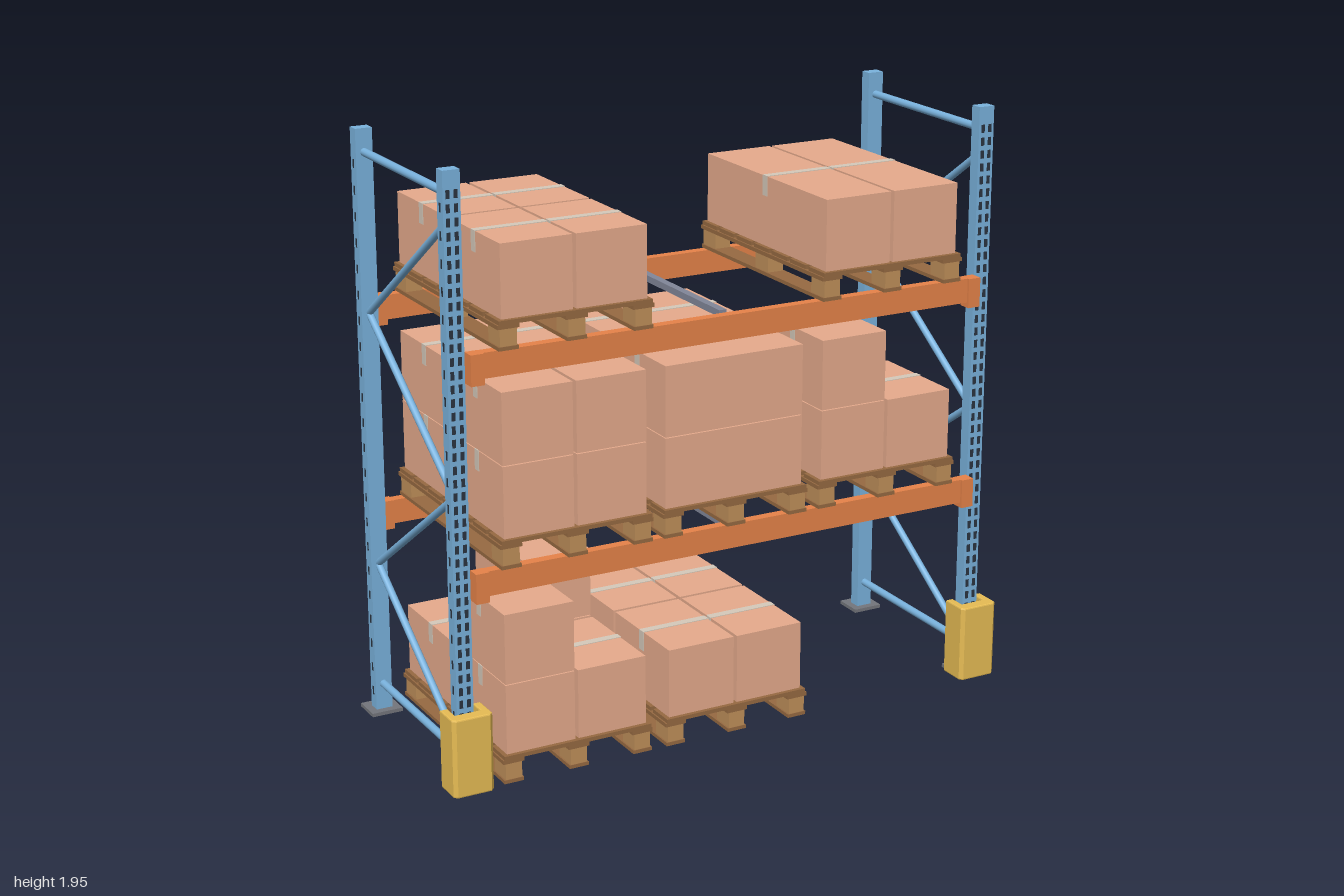
import * as THREE from 'three';
import { mergeGeometries } from 'three/addons/utils/BufferGeometryUtils.js';

const mat = (name, color) => {
  const m = new THREE.MeshStandardMaterial({ color });
  m.name = name;
  return m;
};

// Box geometry from its min and max corners
const block = (x0, x1, y0, y1, z0, z1) =>
  new THREE.BoxGeometry(x1 - x0, y1 - y0, z1 - z0)
    .translate((x0 + x1) / 2, (y0 + y1) / 2, (z0 + z1) / 2);

// Round bar between two points
function bar(a, b, r) {
  const p = new THREE.Vector3(...a), q = new THREE.Vector3(...b);
  const d = q.clone().sub(p);
  const g = new THREE.CylinderGeometry(r, r, d.length(), 12);
  g.applyQuaternion(new THREE.Quaternion().setFromUnitVectors(new THREE.Vector3(0, 1, 0), d.normalize()));
  return g.translate((a[0] + b[0]) / 2, (a[1] + b[1]) / 2, (a[2] + b[2]) / 2);
}

export function createModel() {
  const root = new THREE.Group();
  root.name = 'palletRack';
  const blue = mat('blue steel', 0x7ab3de);
  const slotDark = mat('dark slot', 0x2b3440);
  const orange = mat('orange beam', 0xea854a);
  const yellow = mat('yellow guard', 0xeec257);
  const grey = mat('grey plate', 0x74767c);
  const steel = mat('grey bar', 0x82879a);
  const deckWood = mat('deck wood', 0x976a42);
  const blockWood = mat('block wood', 0xc0905a);
  const card = mat('cardboard', 0xebae8f);
  const tapeMat = mat('packing tape', 0xd6cabb);

  const add = (name, geos, material, parent = root) => {
    const m = new THREE.Mesh(Array.isArray(geos) ? mergeGeometries(geos) : geos, material);
    m.name = name;
    parent.add(m);
    return m;
  };

  // End frames: uprights, slots, base plates, bracing and front guards
  const zFront = 0.318, zBack = -0.333, H = 1.95;
  for (const s of [-1, 1]) {
    const frame = new THREE.Group();
    frame.name = s > 0 ? 'leftFrame' : 'rightFrame';
    root.add(frame);
    const X = 0.932 * s;
    for (const z of [zFront, zBack]) {
      add('upright', block(X - 0.028, X + 0.028, 0.012, H, z - 0.021, z + 0.021), blue, frame);
      add('basePlate', block(X - 0.053, X + 0.053, 0, 0.012, z - 0.053, z + 0.047), grey, frame);
      const slots = [];
      const xo = X + 0.028 * s;
      for (let y = 0.06; y < 1.9; y += 0.084)
        slots.push(block(xo - 0.0015, xo + 0.0015, y, y + 0.028, z - 0.004, z + 0.004));
      if (z === zFront)
        for (let y = 0.06; y < 1.9; y += 0.042)
          for (const dx of [-0.013, 0.013])
            slots.push(block(X + dx - 0.006, X + dx + 0.006, y, y + 0.026, z + 0.02, z + 0.0225));
      add('uprightSlots', slots, slotDark, frame);
    }

    const zf = 0.305, zb = -0.32;
    const zig = [[1.79, zf], [1.36, zb], [0.94, zf], [0.52, zb], [0.11, zf]];
    const braces = [1.875, 0.1].map(y => bar([X, y, zf], [X, y, zb], 0.013));
    for (let i = 0; i < 4; i++)
      braces.push(bar([X, zig[i][0], zig[i][1]], [X, zig[i + 1][0], zig[i + 1][1]], 0.012));
    add('braces', braces, blue, frame);

    // Channel-shaped guard wrapped round the front upright
    const c = new THREE.Shape();
    [[-0.064, 0.304], [-0.046, 0.304], [-0.046, 0.36], [0.046, 0.36], [0.046, 0.304], [0.064, 0.304],
      [0.064, 0.386], [0.055, 0.395], [-0.055, 0.395], [-0.064, 0.386]]
      .forEach(([x, z], i) => (i ? c.lineTo(x, -z) : c.moveTo(x, -z)));
    const guard = new THREE.ExtrudeGeometry(c, {
      depth: 0.25, bevelThickness: 0.005, bevelSize: 0.004, bevelSegments: 2,
    });
    guard.rotateX(-Math.PI / 2).translate(0.932 * s, 0.006, 0);
    add('frontGuard', guard, yellow, frame);
  }

  // Load beams with end connectors, and a tie bar per level
  const levels = [0.005, 0.713, 1.4];
  for (const top of levels.slice(1)) {
    for (const [z, out] of [[0.338, 1], [-0.353, -1]]) {
      const span = (x0, x1, y0, d0, d1) =>
        block(x0, x1, y0, top, Math.min(z + d0 * out, z + d1 * out), Math.max(z + d0 * out, z + d1 * out));
      add('loadBeam', span(-0.87, 0.87, top - 0.08, -0.002, 0.032), orange);
      for (const s of [-1, 1]) {
        const a = 0.858 * s, b = 0.902 * s;
        add('beamConnector', span(Math.min(a, b), Math.max(a, b), top - 0.097, -0.004, 0.04), orange);
      }
    }
    add('tieBar', block(-0.013, 0.013, top - 0.03, top - 0.008, -0.305, 0.283), steel);
  }

  // Pallet: bottom boards, blocks, stringers and deck boards
  const zc = -0.006, W = 0.256, D = 0.388;
  function pallet(parent) {
    const boards = [], blocks = [];
    for (const x of [-0.225, 0, 0.225]) {
      boards.push(block(x - 0.033, x + 0.033, 0, 0.012, -D, D));
      boards.push(block(x - 0.036, x + 0.036, 0.066, 0.079, -D, D));
      for (const z of [-0.346, 0, 0.346])
        blocks.push(block(x - 0.028, x + 0.028, 0.012, 0.066, z - 0.04, z + 0.04));
    }
    const n = 7, w = 0.095, step = (2 * D - w) / (n - 1);
    for (let i = 0; i < n; i++)
      boards.push(block(-W, W, 0.079, 0.092, -D + i * step, -D + i * step + w));
    add('palletBoards', boards, deckWood, parent);
    add('palletBlocks', blocks, blockWood, parent);
  }

  // Carton with a strip of tape over the top and down both sides
  const boxH = 0.233;
  function carton(parent, x0, x1, z0, z1, layer) {
    const y0 = 0.092 + layer * boxH, y1 = y0 + boxH - 0.003, zm = (z0 + z1) / 2, t = 0.002, h = 0.014;
    add('carton', block(x0, x1, y0, y1, z0, z1), card, parent);
    add('cartonTape', [
      block(x0 - t, x1 + t, y1, y1 + t, zm - h, zm + h),
      block(x0 - t, x0, y1 - 0.065, y1, zm - h, zm + h),
      block(x1, x1 + t, y1 - 0.065, y1, zm - h, zm + h),
    ], tapeMat, parent);
  }

  // Footprints on a pallet as [x0, x1, z0, z1]
  const L = [-0.242, -0.006], R = [0.006, 0.244], F = [0.007, 0.374], B = [-0.378, -0.006];
  const quad = { FL: [...L, ...F], FR: [...R, ...F], BL: [...L, ...B], BR: [...R, ...B] };
  const four = Object.values(quad);
  const wide = [[-0.246, 0.244, ...F], [-0.246, 0.244, ...B]];
  const long = [[...L, -0.378, 0.374], [...R, -0.378, 0.374]];

  // Loads: level, x centre, then the cartons of each layer
  const loads = [
    [0, -0.566, [four, [quad.FL, quad.BR]]],
    [0, 0.004, [four]],
    [1, -0.56, [four, four]],
    [1, -0.003, [wide, wide]],
    [1, 0.557, [four, [quad.FL]]],
    [2, -0.555, [four]],
    [2, 0.563, [long]],
  ];
  for (const [level, x, layers] of loads) {
    const g = new THREE.Group();
    g.name = 'palletLoad';
    g.position.set(x, levels[level], zc);
    pallet(g);
    layers.forEach((list, i) => list.forEach(f => carton(g, ...f, i)));
    root.add(g);
  }
  return root;
}
